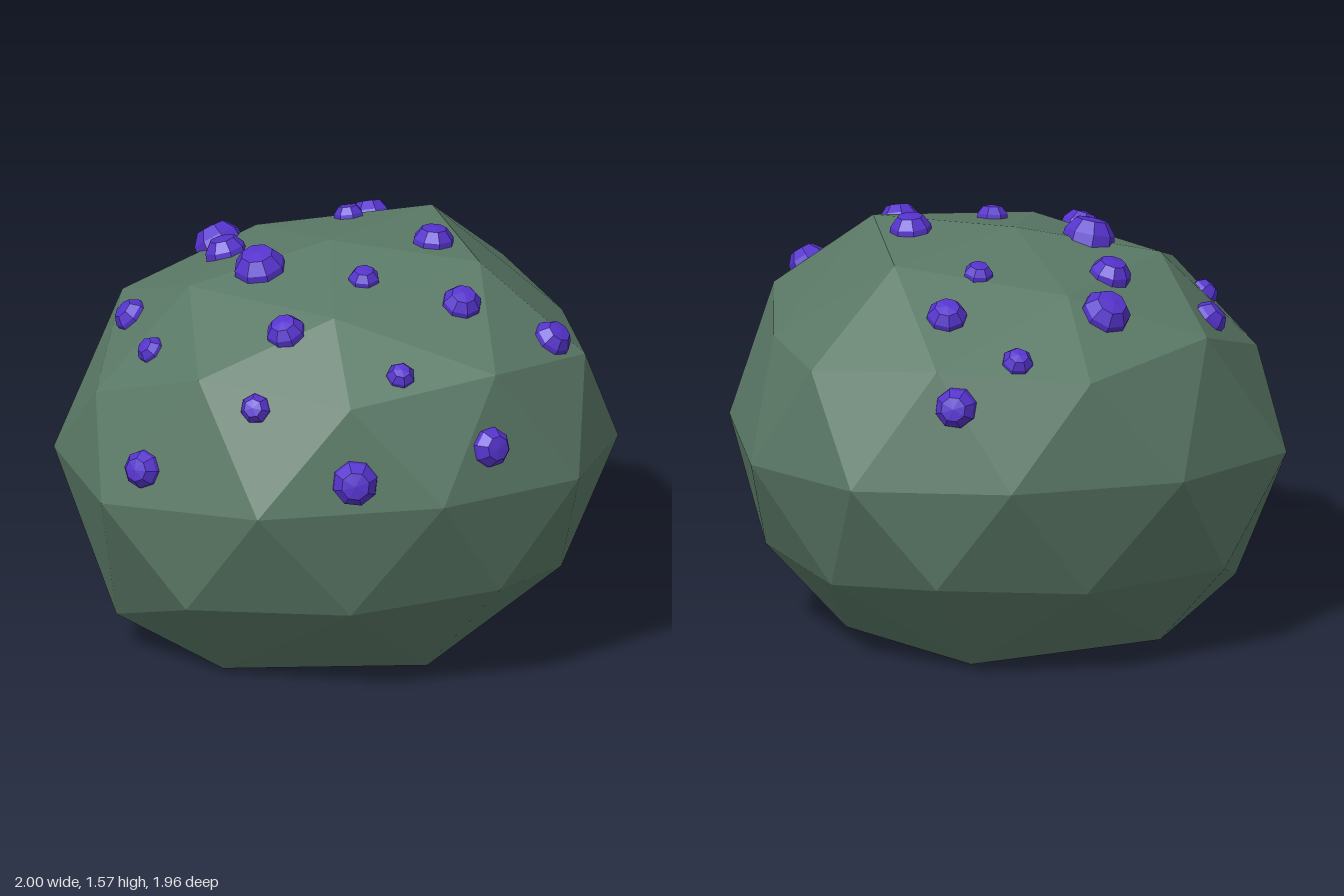
import * as THREE from 'three';
import { ConvexGeometry } from 'three/addons/geometries/ConvexGeometry.js';

// Faceted body: corners on the middle plane as [x, y]
const MIDDLE = [
  [-0.03, 1.53], [-0.57, 1.41], [-0.93, 1.03], [-0.85, 0.14],
  [0.87, 1.15], [0.9, 0.34], [0.6, 0],
];
// Corners mirrored front to back as [x, y, z]
const MIRRORED = [
  [0.46, 1.5, 0.3], [0.995, 0.75, 0.3], [-1, 0.71, 0.3], [-0.53, 0, 0.3],
  [-0.16, 1.42, 0.49], [-0.68, 1.23, 0.48], [0.2, 0, 0.49], [0.72, 0.33, 0.48],
  [0.8, 1.18, 0.52], [-0.74, 0.34, 0.52],
  [0.37, 1.25, 0.8], [0.69, 0.8, 0.8], [-0.55, 0.78, 0.8], [-0.19, 0.36, 0.8],
  [-0.2, 1.19, 0.83], [0.375, 0.41, 0.835], [0.115, 0.82, 0.98],
];

// Studs as [x, y, z, radius]
const STUDS = [
  [-0.33, 1.42, -0.57, 0.095], [-0.32, 1.49, 0.04, 0.1], [-0.37, 1.46, -0.28, 0.08],
  [-0.34, 1.38, 0.46, 0.075], [-0.72, 1.22, -0.23, 0.068], [-0.76, 1.22, 0.1, 0.055],
  [-0.88, 0.87, 0.4, 0.073], [-0.51, 1.16, 0.64, 0.058], [-0.2, 0.92, 0.89, 0.088],
  [0.02, 1.27, 0.75, 0.055], [0.02, 1.49, 0.29, 0.06], [0.34, 1.42, 0.48, 0.076],
  [0.67, 1.25, 0.52, 0.076], [0.33, 1.0, 0.88, 0.077], [0.35, 1.51, 0.08, 0.08],
  [0.155, 1.47, -0.35, 0.057], [0.31, 1.4, -0.57, 0.077], [0.065, 1.27, -0.77, 0.06],
  [0.31, 1.13, -0.86, 0.078],
];

// Low dome with a steep wall, a bevel and a small nearly flat crown
function studGeometry(sides) {
  const profile = [[1, -0.25], [0.95, 0.25], [0.6, 0.7], [0, 0.78]]
    .map(([r, h]) => new THREE.Vector2(r, h));
  return new THREE.LatheGeometry(profile, sides);
}

export function createModel() {
  const model = new THREE.Group();
  const green = new THREE.MeshStandardMaterial({ color: 0x5b7a67, flatShading: true });
  const purple = new THREE.MeshStandardMaterial({ color: 0x5533cc, flatShading: true });

  const points = MIDDLE.map(([x, y]) => new THREE.Vector3(x, y, 0));
  for (const [x, y, z] of MIRRORED) {
    points.push(new THREE.Vector3(x, y, z), new THREE.Vector3(x, y, -z));
  }
  const body = new THREE.Mesh(new ConvexGeometry(points), green);
  body.name = 'body';
  model.add(body);

  // Studs sit on the facet below them and follow its slope
  const studs = new THREE.Group();
  studs.name = 'studs';
  model.add(studs);
  const large = studGeometry(8);
  const small = studGeometry(7);
  const centre = new THREE.Vector3(0, 0.75, 0);
  const up = new THREE.Vector3(0, 1, 0);
  for (const [x, y, z, radius] of STUDS) {
    const outward = new THREE.Vector3(x, y, z).sub(centre).normalize();
    const start = centre.clone().addScaledVector(outward, 3);
    const ray = new THREE.Raycaster(start, outward.clone().negate());
    const hit = ray.intersectObject(body)[0];
    const stud = new THREE.Mesh(radius > 0.07 ? large : small, purple);
    stud.name = 'stud';
    stud.position.copy(hit ? hit.point : new THREE.Vector3(x, y, z));
    stud.quaternion.setFromUnitVectors(up, hit ? hit.face.normal : outward);
    stud.scale.setScalar(radius);
    studs.add(stud);
  }
  return model;
}
